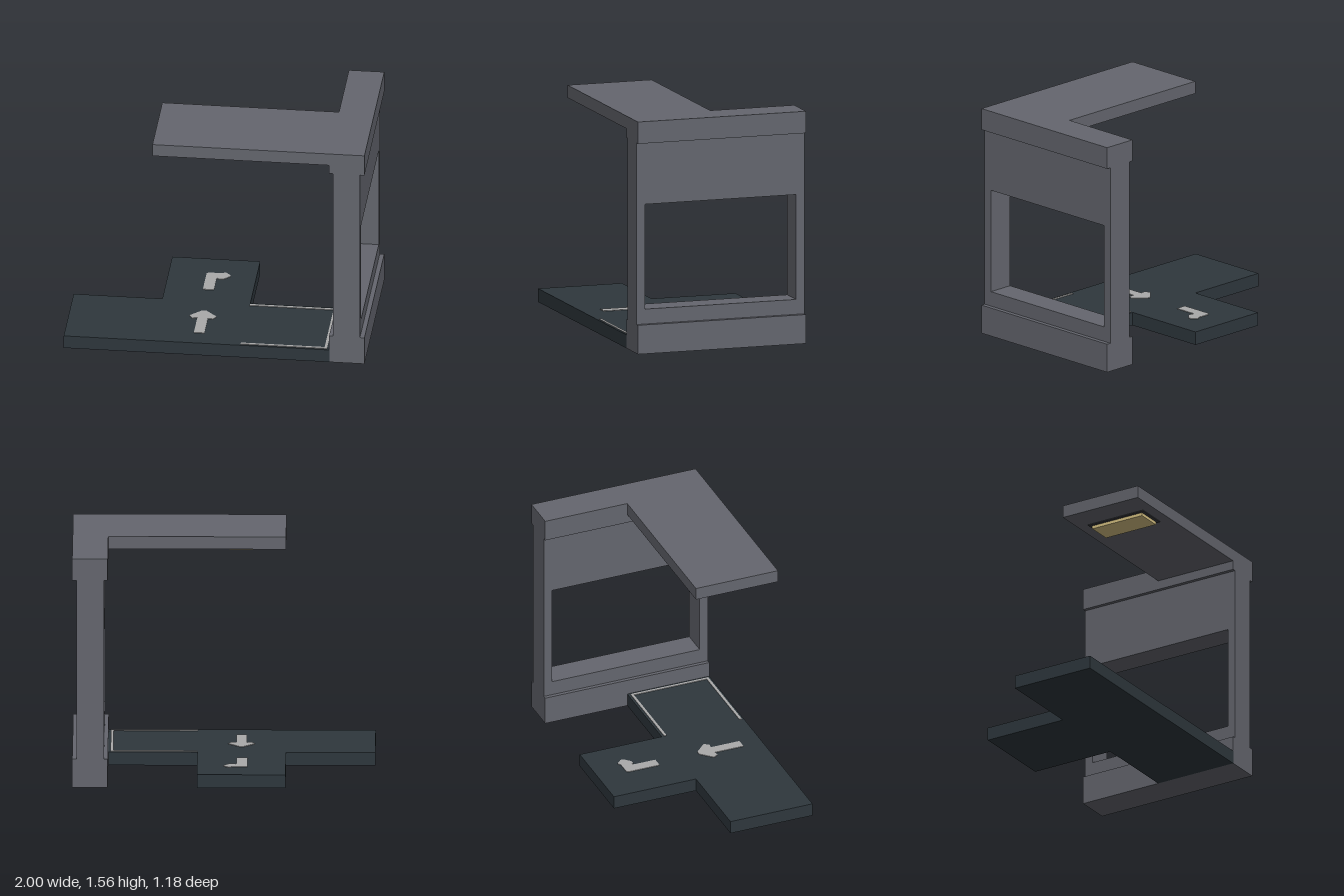
import * as THREE from 'three';

export function createModel() {
  const model = new THREE.Group();

  const material = (name, color) => {
    const m = new THREE.MeshStandardMaterial({ color });
    m.name = name;
    return m;
  };
  const concrete = material('grey concrete', 0x64666e);
  const asphalt = material('dark asphalt', 0x2e373d);
  const paint = material('road paint', 0xaaaaaa);
  const glow = material('warm lamp', 0xd8c384);
  const metal = material('lamp metal', 0x3a3b40);

  const add = (name, geometry, mat) => {
    const mesh = new THREE.Mesh(geometry, mat);
    mesh.name = name;
    model.add(mesh);
    return mesh;
  };
  // Box from its limits on each axis
  const box = (name, mat, [x0, x1], [y0, y1], [z0, z1]) => {
    const g = new THREE.BoxGeometry(x1 - x0, y1 - y0, z1 - z0);
    g.translate((x0 + x1) / 2, (y0 + y1) / 2, (z0 + z1) / 2);
    return add(name, g, mat);
  };
  // Flat slab from an outline of [x, z] points
  const slab = (name, mat, outline, y, height) => {
    const shape = new THREE.Shape(outline.map(([x, z]) => new THREE.Vector2(x, -z)));
    const g = new THREE.ExtrudeGeometry(shape, { depth: height, bevelEnabled: false });
    g.rotateX(-Math.PI / 2).translate(0, y, 0);
    return add(name, g, mat);
  };

  const D = 0.588;      // half depth
  const FLOOR = 0.09;   // road height
  const PAINT = 0.004;  // paint thickness

  // T-shaped road with a spur to the back
  slab('road', asphalt, [
    [-1, D], [0.767, D], [0.767, 0], [0.175, 0],
    [0.175, -D], [-0.41, -D], [-0.41, 0], [-1, 0],
  ], 0, FLOOR);

  // Side wall: plinth, panel with a window opening, top beam
  box('wallPlinth', concrete, [0.765, 1], [0, 0.195], [-D, D]);
  box('wallTopBeam', concrete, [0.765, 1], [1.415, 1.562], [-D, D]);
  const panel = new THREE.Shape([
    [-D, 0.195], [D, 0.195], [D, 1.415], [-D, 1.415],
  ].map(p => new THREE.Vector2(...p)));
  panel.holes.push(new THREE.Path([
    [-0.53, 0.295], [-0.53, 1.0], [0.53, 1.0], [0.53, 0.295],
  ].map(p => new THREE.Vector2(...p))));
  const wall = new THREE.ExtrudeGeometry(panel, { depth: 0.18, bevelEnabled: false });
  wall.rotateY(Math.PI / 2).translate(0.79, 0, 0);
  add('wallPanel', wall, concrete);

  // Overhanging roof and the lamp below it
  box('roof', concrete, [-0.41, 0.765], [1.477, 1.562], [0, D]);
  box('lampFrame', metal, [-0.225, -0.015], [1.471, 1.477], [0.08, 0.51]);
  box('lampPanel', glow, [-0.205, -0.035], [1.45, 1.471], [0.1, 0.49]);

  // Bay lines
  for (const z of [0.025, 0.565])
    box('bayLine', paint, [0.175, 0.75], [FLOOR, FLOOR + PAINT], [z - 0.009, z + 0.009]);
  box('bayEndLine', paint, [0.732, 0.75], [FLOOR, FLOOR + PAINT], [0.034, 0.556]);

  // Straight arrow pointing to the back
  slab('straightArrow', paint, [
    [-0.15, 0.45], [-0.08, 0.45], [-0.08, 0.245], [-0.045, 0.25], [-0.025, 0.215],
    [-0.1, 0.14], [-0.13, 0.14], [-0.205, 0.215], [-0.185, 0.25], [-0.15, 0.245],
  ], FLOOR, PAINT);

  // Turn arrow on the spur
  slab('turnArrow', paint, [
    [-0.158, -0.155], [-0.085, -0.155], [-0.085, -0.31], [-0.075, -0.32],
    [-0.07, -0.305], [-0.04, -0.308], [0.002, -0.35], [0.002, -0.368],
    [-0.035, -0.405], [-0.055, -0.39], [-0.145, -0.39], [-0.158, -0.378],
  ], FLOOR, PAINT);

  return model;
}
